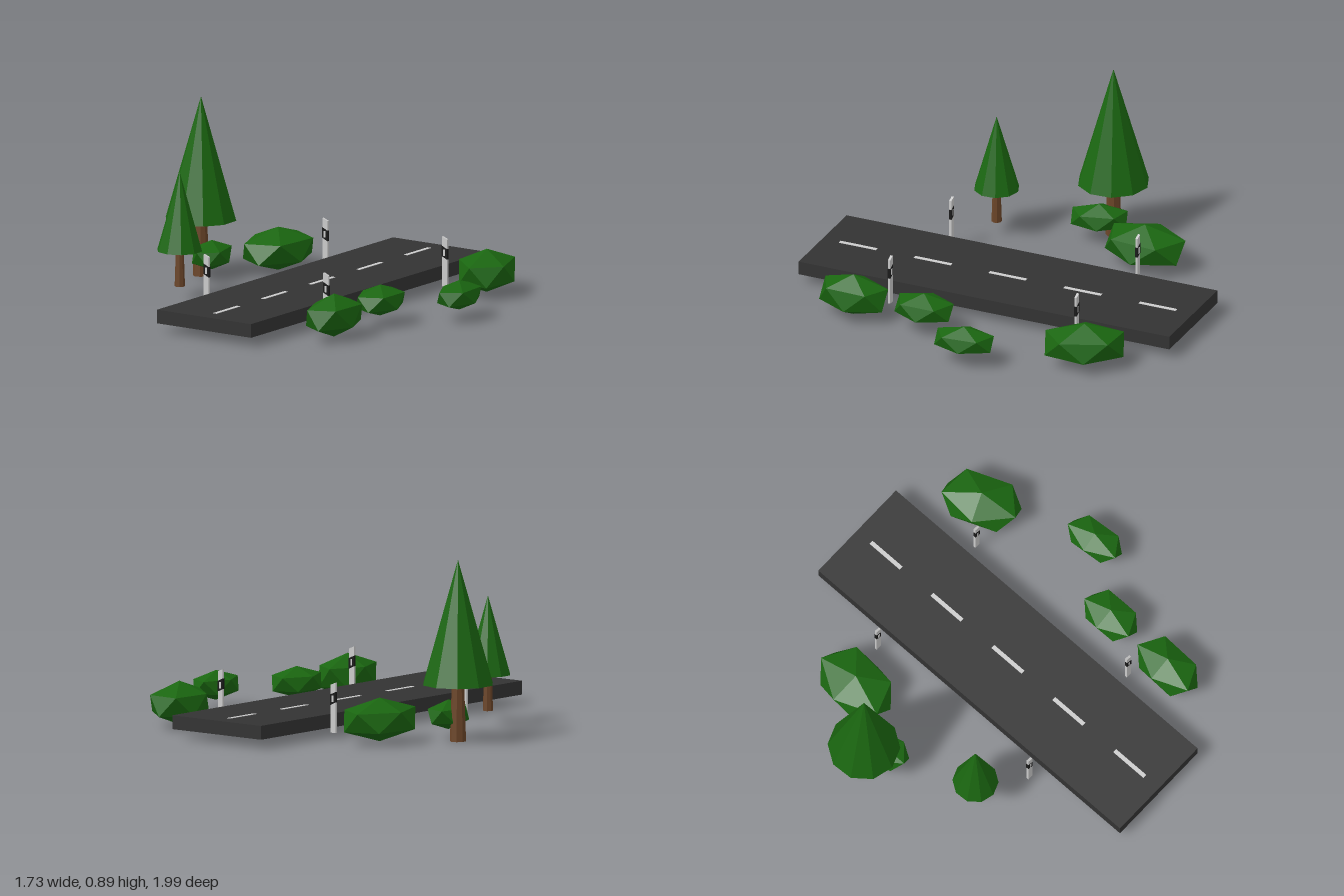
import * as THREE from 'three';

const mat = (color) => new THREE.MeshStandardMaterial({ color, flatShading: true });
const asphalt = mat(0x333333);
const paint = mat(0xc4c4c4);
const white = mat(0xdddddd);
const black = mat(0x1a1a1a);
const green = mat(0x1a6610);
const bark = mat(0x6b4528);

function add(parent, name, geometry, material, x = 0, y = 0, z = 0) {
  const mesh = new THREE.Mesh(geometry, material);
  mesh.name = name;
  mesh.position.set(x, y, z);
  parent.add(mesh);
  return mesh;
}

// Upright slab whose top and bottom edges may slope, centred in depth
function slopedSlab(width, bottomL, bottomR, topL, topR, depth) {
  const w = width / 2;
  const shape = new THREE.Shape([
    new THREE.Vector2(-w, bottomL), new THREE.Vector2(w, bottomR),
    new THREE.Vector2(w, topR), new THREE.Vector2(-w, topL),
  ]);
  return new THREE.ExtrudeGeometry(shape, { depth, bevelEnabled: false }).translate(0, 0, -depth / 2);
}

// Roadside marker: pale post, slanted black band, small reflector
function createPost() {
  const post = new THREE.Group();
  post.name = 'markerPost';
  add(post, 'postBody', slopedSlab(0.03, 0.035, 0.035, 0.282, 0.27, 0.012), white);
  add(post, 'postBand', slopedSlab(0.032, 0.185, 0.17, 0.237, 0.222, 0.014), black);
  add(post, 'postReflector', new THREE.BoxGeometry(0.011, 0.032, 0.016), white, 0, 0.203, 0);
  return post;
}

// Conifer: tapered trunk under one faceted cone
function createTree(x, y, z, scale) {
  const tree = new THREE.Group();
  tree.name = 'tree';
  add(tree, 'trunk', new THREE.CylinderGeometry(0.03, 0.04, 0.3, 8), bark, 0, 0.15, 0);
  const crown = add(tree, 'crown', new THREE.ConeGeometry(0.177, 0.61, 10), green, 0, 0.585, 0);
  crown.rotation.y = Math.PI / 4;
  tree.position.set(x, y, z);
  tree.scale.setScalar(scale);
  return tree;
}

export function createModel() {
  const model = new THREE.Group();
  model.name = 'roadScene';

  // Road with its dashes and posts, laid along z and turned as a whole
  const road = new THREE.Group();
  road.name = 'road';
  road.position.x = -0.05;
  road.rotation.y = -Math.PI / 6;
  model.add(road);
  add(road, 'roadSlab', new THREE.BoxGeometry(0.56, 0.068, 1.98), asphalt, 0, 0.079, 0);
  for (let i = -2; i <= 2; i++) {
    add(road, 'laneDash', new THREE.BoxGeometry(0.021, 0.004, 0.198), paint, 0, 0.113, i * 0.4);
  }
  for (const x of [-0.356, 0.356]) {
    for (const z of [-0.53, 0.465]) {
      const post = createPost();
      post.position.set(x, 0, z);
      road.add(post);
    }
  }

  model.add(createTree(-0.695, 0, -0.575, 1));
  model.add(createTree(-0.745, 0.07, -0.01, 0.635));

  // Shrubs: stretched icosahedra standing on one corner
  const shrub = new THREE.IcosahedronGeometry(1, 0);
  shrub.rotateZ(Math.atan(2 / (1 + Math.sqrt(5))));
  // x, y, z, half width, half height, half length, turn in degrees
  const shrubs = [
    [-0.33, 0.115, -0.695, 0.165, 0.107, 0.235, -35],
    [0.725, 0.115, -0.3, 0.155, 0.107, 0.225, -8],
    [0.08, 0.115, 0.765, 0.125, 0.107, 0.2, -32],
    [0.275, 0.122, 0.44, 0.115, 0.077, 0.17, -30],
    [0.645, 0.12, 0.28, 0.1, 0.073, 0.17, -25],
    [-0.635, 0.12, -0.5, 0.1, 0.073, 0.16, -15],
  ];
  for (const [x, y, z, w, h, l, turn] of shrubs) {
    const bush = add(model, 'shrub', shrub, green, x, y, z);
    bush.scale.set(w, h, l);
    bush.rotation.y = THREE.MathUtils.degToRad(turn);
  }
  return model;
}
